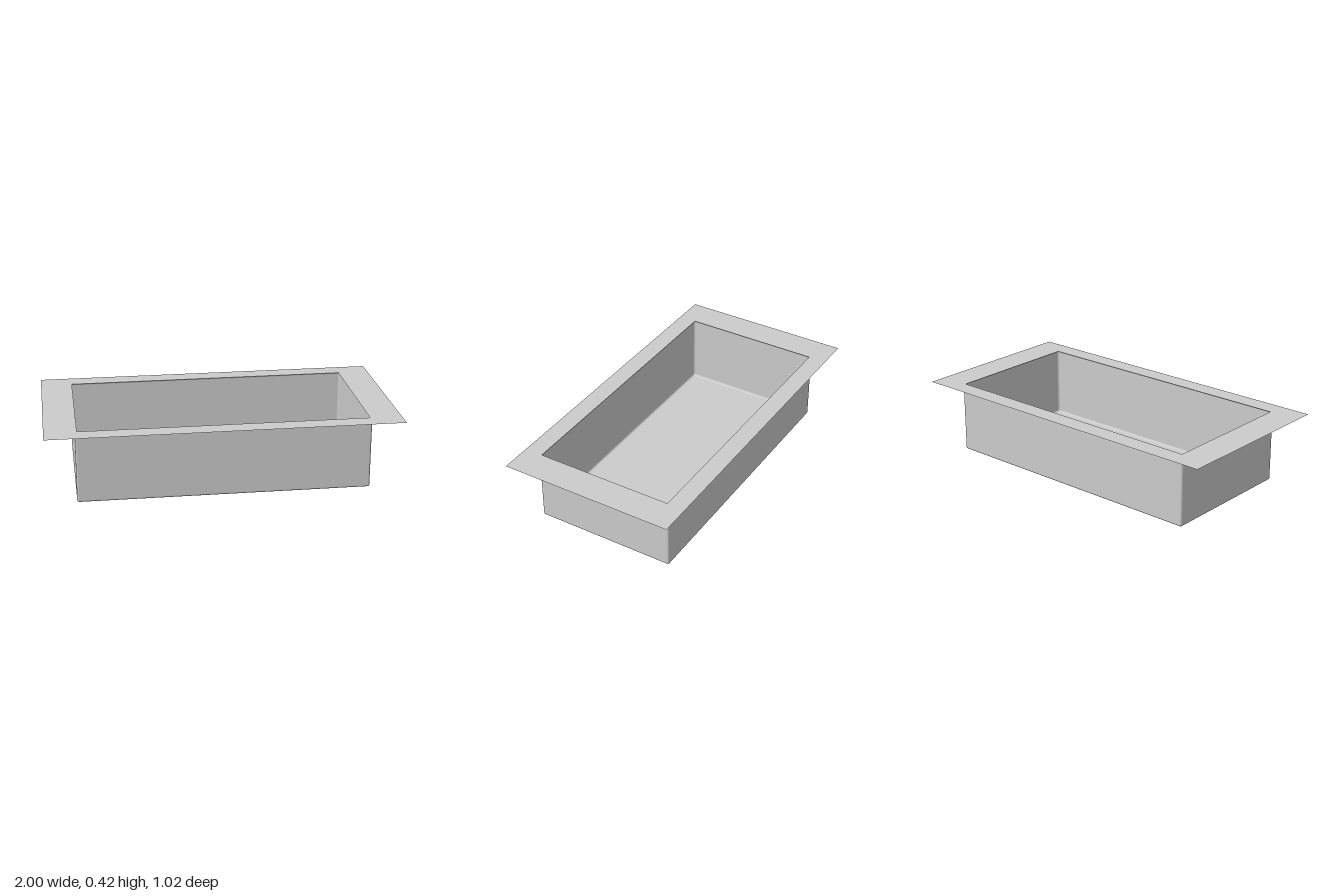
import * as THREE from 'three';
import { RoundedBoxGeometry } from 'three/addons/geometries/RoundedBoxGeometry.js';

const WIDTH = 1.66, HEIGHT = 0.416, DEPTH = 0.83, FILLET = 0.012;

// Rounded box with its flat top removed, leaving a thin open tub
function openTub() {
  const box = new RoundedBoxGeometry(WIDTH, HEIGHT, DEPTH, 3, FILLET);
  const source = box.index ? box.toNonIndexed() : box;
  const p = source.attributes.position, n = source.attributes.normal;
  const positions = [], normals = [];
  for (let i = 0; i < p.count; i += 3) {
    if ([0, 1, 2].every(k => p.getY(i + k) > HEIGHT / 2 - 1e-4)) continue;
    for (let k = i; k < i + 3; k++) {
      positions.push(p.getX(k), p.getY(k) + HEIGHT / 2, p.getZ(k));
      normals.push(n.getX(k), n.getY(k), n.getZ(k));
    }
  }
  const g = new THREE.BufferGeometry();
  g.setAttribute('position', new THREE.Float32BufferAttribute(positions, 3));
  g.setAttribute('normal', new THREE.Float32BufferAttribute(normals, 3));
  return g;
}

function rectangle(path, x, z) {
  path.moveTo(-x, -z).lineTo(x, -z).lineTo(x, z).lineTo(-x, z).closePath();
  return path;
}

// Flat sheet around the opening, meeting the rolled top edge of the tub
function flangeSheet() {
  const shape = rectangle(new THREE.Shape(), 1, 0.51);
  shape.holes.push(rectangle(new THREE.Path(), WIDTH / 2 - FILLET, DEPTH / 2 - FILLET));
  return new THREE.ShapeGeometry(shape).rotateX(-Math.PI / 2).translate(0, HEIGHT, 0);
}

export function createModel() {
  const group = new THREE.Group();
  group.name = 'recessedBasin';
  const material = new THREE.MeshStandardMaterial({ color: 0xcccccc, side: THREE.DoubleSide });
  const parts = { basin: openTub(), rimFlange: flangeSheet() };
  for (const [name, geometry] of Object.entries(parts)) {
    const mesh = new THREE.Mesh(geometry, material);
    mesh.name = name;
    group.add(mesh);
  }
  return group;
}
